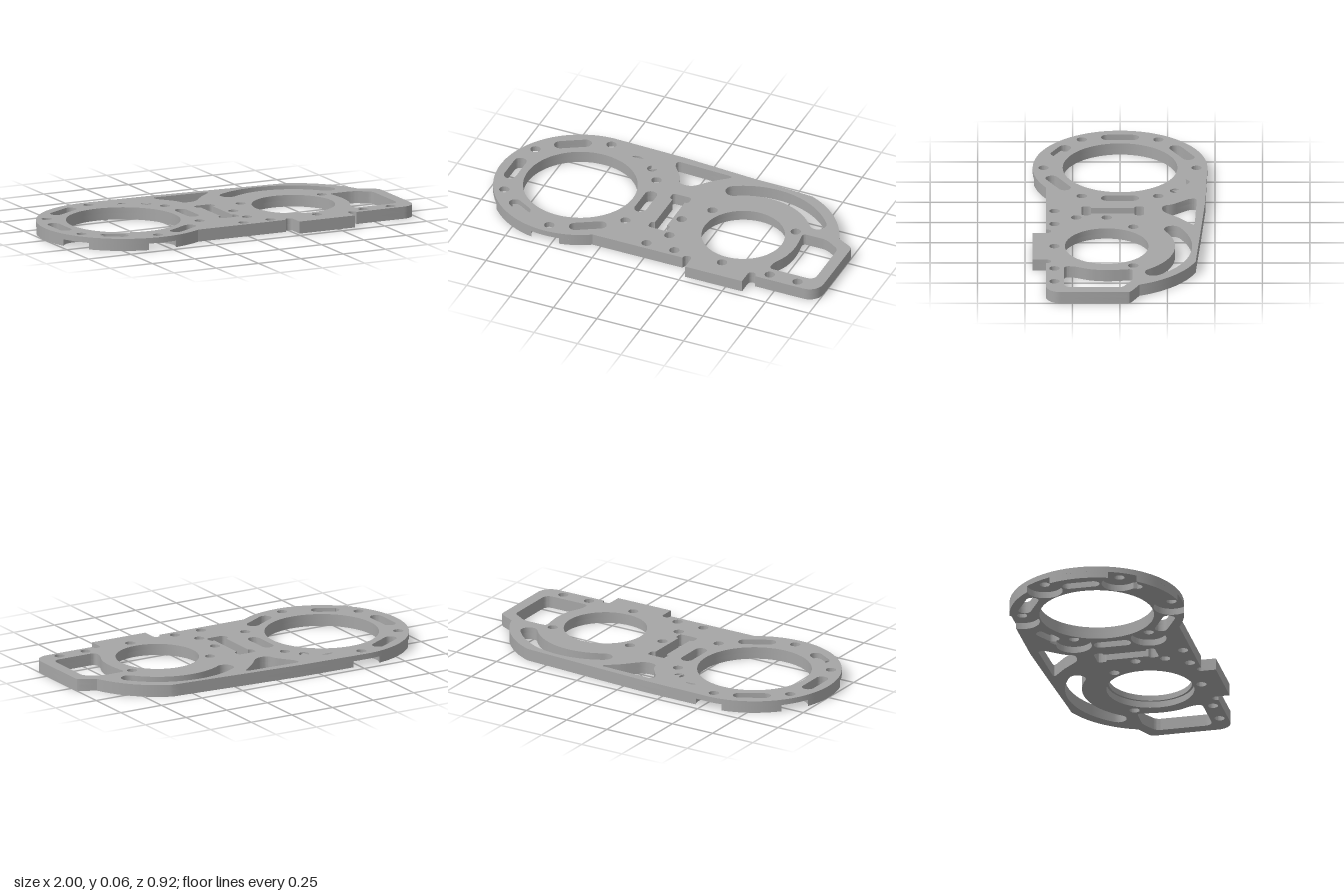
import * as THREE from 'three';
import { toCreasedNormals } from 'three/addons/utils/BufferGeometryUtils.js';

// Plan coordinates: 2D x = model x, 2D y = model z
const HEIGHT = 0.065, STEP = 0.035;
const RING = [-0.54, 0], RIM = 0.46, BOLT = 0.403, POCKET = 0.094, DRILL = 0.027;
const BORE = [0.43, 0.07];
const rad = THREE.MathUtils.degToRad;
const V = (x, y) => new THREE.Vector2(x, y);
const polar = ([x, y], r, t) => V(x + r * Math.cos(t), y + r * Math.sin(t));

function arc(c, r, from, to, n = 24) {
  return Array.from({ length: n + 1 }, (_, i) => polar(c, r, from + (to - from) * i / n));
}

const circle = (c, r, n = 32) => arc(c, r, 0, 2 * Math.PI, n).slice(0, -1);

// Straight slot with round ends: h is half the distance between the end centres
function slot(c, angle, h, r = 0.033) {
  const a = polar(c, h, angle), b = polar(c, -h, angle);
  return [
    ...arc([a.x, a.y], r, angle - Math.PI / 2, angle + Math.PI / 2, 12),
    ...arc([b.x, b.y], r, angle + Math.PI / 2, angle + Math.PI * 1.5, 12),
  ];
}

// Polygon from [x, z, cornerRadius] entries
function rounded(list) {
  const out = [];
  list.forEach(([x, y, r = 0], i) => {
    const p = V(x, y);
    if (!r) return out.push(p);
    const n = list.length, prev = list[(i + n - 1) % n], next = list[(i + 1) % n];
    const a = V(prev[0], prev[1]).sub(p).setLength(r).add(p);
    const b = V(next[0], next[1]).sub(p).setLength(r).add(p);
    out.push(...new THREE.QuadraticBezierCurve(a, p, b).getPoints(8));
  });
  return out;
}

// The two small drill holes that run into a bolt pocket
const mergedHoles = [[-0.83, 0.285], [-0.255, -0.29]];

// Pocket edge around a bolt, widened where a drill hole runs into it
function pocketEdge(c, from, to) {
  return arc(c, 1, from, to, 64).map((p) => {
    const t = Math.atan2(p.y - c[1], p.x - c[0]);
    let r = POCKET;
    for (const [hx, hy] of mergedHoles) {
      const dx = hx - c[0], dy = hy - c[1];
      const along = dx * Math.cos(t) + dy * Math.sin(t);
      const disc = DRILL ** 2 - (dx * dx + dy * dy - along * along);
      if (disc > 0 && along > 0 && along < 0.2) r = Math.max(r, along + Math.sqrt(disc));
    }
    return polar(c, r, t);
  });
}

const boltCentre = (deg) => polar(RING, BOLT, rad(deg)).toArray();

// Round left end, optionally bitten by the bolt pockets
function ringEnd(bitten) {
  if (!bitten) return arc(RING, RIM, rad(58), rad(270), 90);
  const half = Math.acos((RIM ** 2 + BOLT ** 2 - POCKET ** 2) / (2 * RIM * BOLT));
  const a = Math.atan2(RIM * Math.sin(half), RIM * Math.cos(half) - BOLT);
  const pts = [];
  let from = rad(58);
  for (const deg of [90, 150, 210, 270]) {
    const t = rad(deg);
    pts.push(...arc(RING, RIM, from, t - half, 14));
    pts.push(...pocketEdge(boltCentre(deg), t - a, t + a - 2 * Math.PI).slice(1, -1));
    pts.push(polar(RING, RIM, t + half));
    from = t + half + 0.005;
  }
  return pts;
}

function outline(bitten) {
  return [
    ...ringEnd(bitten),
    V(-0.14, -0.45), V(0.2, -0.428), V(0.57, -0.402),
    // shoulder around the small bore
    ...arc(BORE, 0.506, rad(-68), rad(-20), 24),
    // right end and its corners
    V(0.985, -0.062), V(0.997, -0.05), V(1, -0.035),
    ...arc([0.92, 0.31], 0.08, 0, Math.PI / 2, 12),
    // front tab between two relief notches
    V(0.64, 0.39),
    ...arc([0.618, 0.385], 0.022, 0, -Math.PI, 10),
    V(0.596, 0.46), V(0.268, 0.46),
    ...arc([0.246, 0.385], 0.022, 0, -Math.PI, 10),
    V(0.222, 0.39),
  ];
}

// Openings through the full thickness
function openings() {
  const list = [circle(RING, 0.302, 96)];
  // slots round the large bore; two are shorter
  for (const deg of [0, 60, 120, 180, 240, 300]) {
    const short = deg === 120 || deg === 300;
    const c = polar(RING, 0.376, rad(short ? deg + 4 : deg)).toArray();
    list.push(slot(c, rad(deg + 90), short ? 0.042 : 0.067));
  }
  // curved slot behind the small bore
  const a = rad(-121), b = rad(-37.5), mid = 0.405, w = 0.045;
  list.push([
    ...arc(BORE, mid + w, a, b, 36),
    ...arc(polar(BORE, mid, b).toArray(), w, b, b + Math.PI, 12).slice(1, -1),
    ...arc(BORE, mid - w, b, a, 36),
    ...arc(polar(BORE, mid, a).toArray(), w, a + Math.PI, a + 2 * Math.PI, 12).slice(1, -1),
  ]);
  // triangular window
  list.push(rounded([
    [-0.165, -0.405, 0.03], [0.175, -0.393, 0.035], [0.085, -0.318, 0.03],
    [0, -0.222, 0.035], [-0.072, -0.222, 0.03], [-0.085, -0.275, 0.025], [-0.152, -0.36],
  ]));
  // I-shaped slot
  list.push(rounded([
    [-0.062, -0.127, 0.02], [0.048, -0.127, 0.02], [0.048, -0.075, 0.02], [0.028, -0.075],
    [0.028, 0.152], [0.048, 0.152, 0.02], [0.048, 0.204, 0.02], [-0.062, 0.204, 0.02],
    [-0.062, 0.152, 0.02], [-0.042, 0.152], [-0.042, -0.075], [-0.062, -0.075, 0.02],
  ]));
  // right-hand window
  list.push(rounded([
    [0.712, -0.067, 0.025], [0.85, -0.067, 0.03], [0.938, -0.012, 0.025], [0.938, 0.294, 0.045],
    [0.675, 0.294, 0.03], [0.682, 0.235, 0.02], [0.717, 0.16, 0.03], [0.729, 0.07, 0.04], [0.722, 0, 0.03],
  ]));
  // plain drill holes
  for (const c of [[0.19, -0.07], [0.67, -0.07], [0.075, 0.07], [0.075, 0.23], [-0.005, 0.345],
    [0.155, 0.345], [0.43, 0.345], [0.705, 0.345], [0.865, 0.345]]) list.push(circle(c, DRILL));
  return list;
}

function layer(name, points, holes, bottom, top, material) {
  const shape = new THREE.Shape(points);
  shape.holes = holes.map((h) => new THREE.Path(h));
  const geo = new THREE.ExtrudeGeometry(shape, { depth: top - bottom, bevelEnabled: false, steps: 1 });
  geo.rotateX(Math.PI / 2).translate(0, top, 0);
  const mesh = new THREE.Mesh(toCreasedNormals(geo, 0.5), material);
  mesh.name = name;
  return mesh;
}

export function createModel() {
  const group = new THREE.Group();
  group.name = 'mountingPlate';
  const metal = new THREE.MeshStandardMaterial({ color: 0xa6a6a6 });
  metal.name = 'grey metal';

  // Upper half: plain bolt and drill holes
  const upperHoles = [
    ...openings(), circle(BORE, 0.22, 80),
    ...[30, 90, 150, 210, 270, 330].map((d) => circle(boltCentre(d), DRILL)),
    ...mergedHoles.map((c) => circle(c, DRILL)),
  ];
  group.add(layer('upperPlate', outline(false), upperHoles, STEP, HEIGHT, metal));

  // Lower half: bolt pockets and a slightly wider small bore
  const lowerHoles = [
    ...openings(), circle(BORE, 0.232, 80),
    ...[30, 330].map((d) => pocketEdge(boltCentre(d), 0, 2 * Math.PI).slice(0, -1)),
  ];
  group.add(layer('lowerPlate', outline(true), lowerHoles, 0, STEP, metal));
  return group;
}
